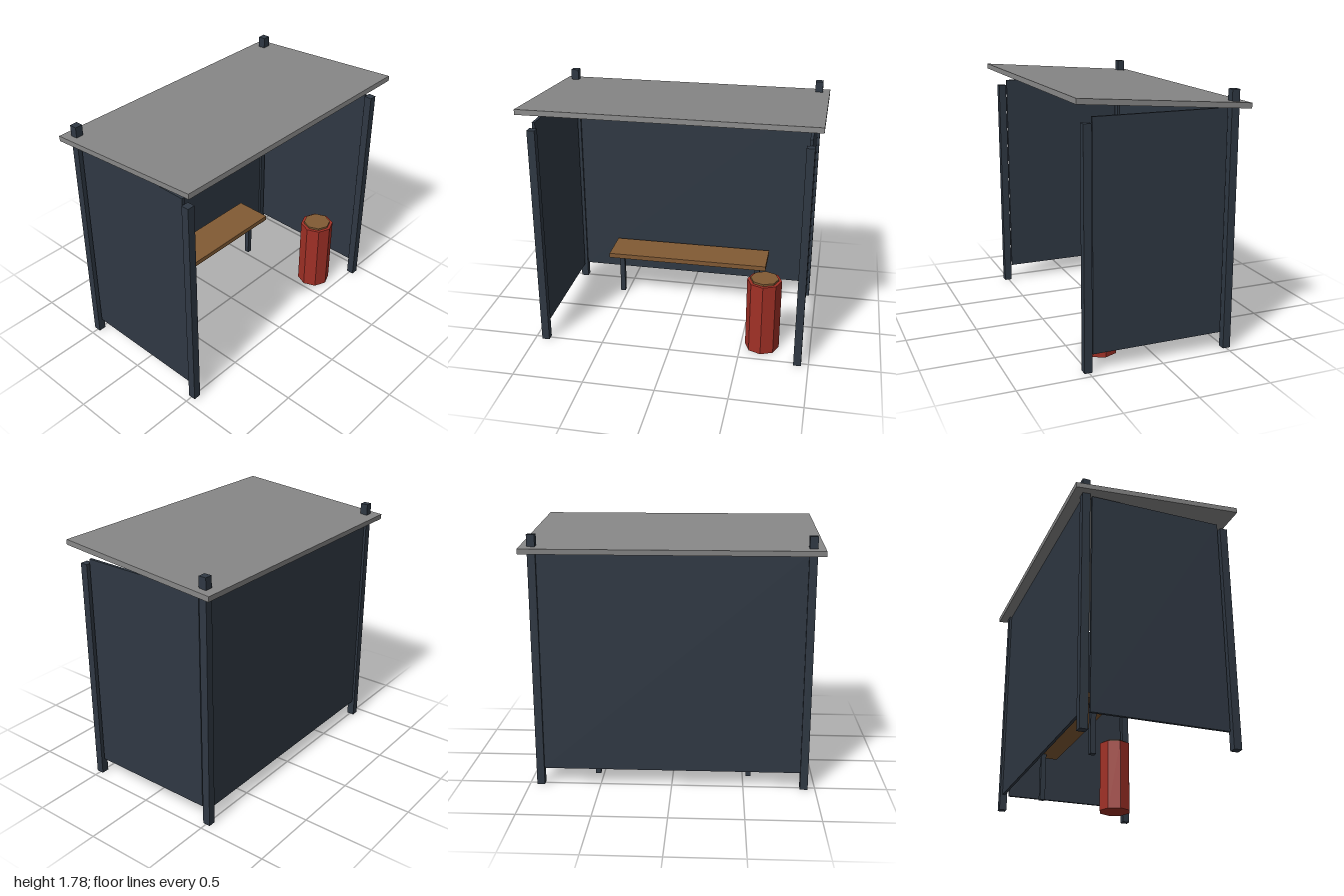
import * as THREE from 'three';

export function createModel() {
  const group = new THREE.Group();
  const material = (name, color) => {
    const m = new THREE.MeshStandardMaterial({ color });
    m.name = name;
    return m;
  };
  const steel = material('dark blue steel', 0x2f3843);
  const grey = material('roof grey', 0x878787);
  const wood = material('brown wood', 0x815a34);
  const red = material('bin red', 0xa03026);

  const add = (name, geometry, mat, x, y, z) => {
    const mesh = new THREE.Mesh(geometry, mat);
    mesh.name = name;
    mesh.position.set(x, y, z);
    group.add(mesh);
    return mesh;
  };
  const box = (name, mat, w, h, d, x, y, z) =>
    add(name, new THREE.BoxGeometry(w, h, d), mat, x, y, z);
  // faceted eight-sided prism
  const prism = (name, mat, r, y0, y1, x, z) => {
    const g = new THREE.CylinderGeometry(r, r, y1 - y0, 8).toNonIndexed();
    g.computeVertexNormals();
    return add(name, g, mat, x, (y0 + y1) / 2, z);
  };

  // posts, side walls and bench legs, mirrored left and right
  for (const [side, s] of [['left', 1], ['right', -1]]) {
    box(`${side}FrontPost`, steel, 0.054, 1.616, 0.054, s * 0.922, 0.808, 0.504);
    box(`${side}BackPost`, steel, 0.054, 1.768, 0.054, s * 0.922, 0.884, -0.504);
    box(`${side}Wall`, steel, 0.02, 1.535, 0.924, s * 0.922, 0.885, 0.004);
    box(`${side}BenchLeg`, steel, 0.037, 0.35, 0.037, s * 0.542, 0.175, -0.304);
  }
  box('backWall', steel, 1.8, 1.535, 0.02, 0, 0.885, -0.504);

  // roof slopes down towards the back
  const roof = box('roof', grey, 2, 0.036, 1.19, 0, 1.713, 0);
  roof.rotation.x = -0.08;

  box('benchSeat', wood, 1.23, 0.036, 0.28, 0, 0.367, -0.315);

  // litter bin
  prism('bin', red, 0.123, 0, 0.54, 0.652, 0.312);
  prism('binLid', wood, 0.1, 0.54, 0.555, 0.652, 0.312);

  return group;
}
